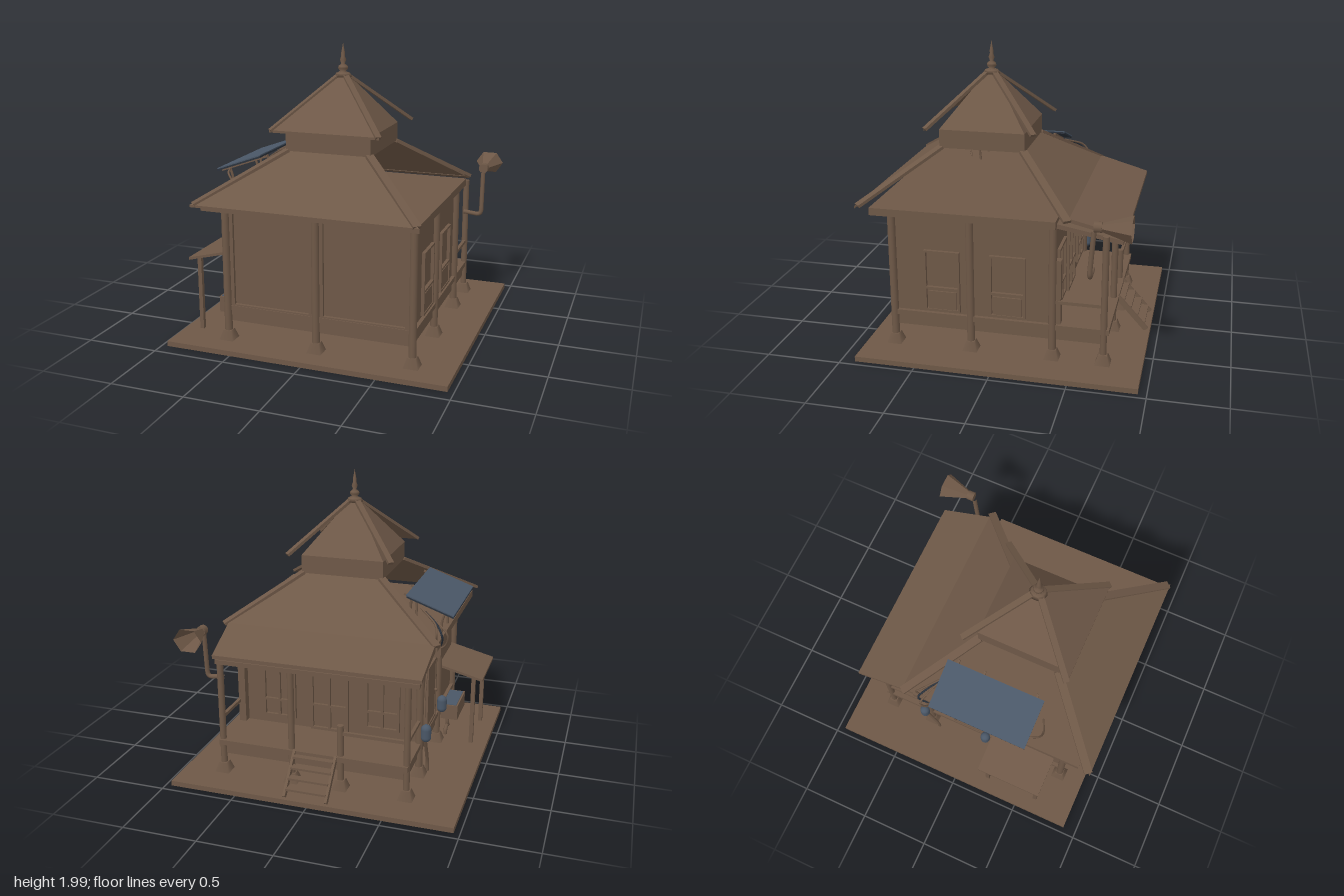
import * as THREE from 'three';
import { ConvexGeometry } from 'three/addons/geometries/ConvexGeometry.js';

const V = (x, y, z) => new THREE.Vector3(x, y, z);

export function createModel() {
  const model = new THREE.Group();
  const mat = (name, color, extra = {}) => {
    const m = new THREE.MeshStandardMaterial({ color, ...extra });
    m.name = name;
    return m;
  };
  const wood = mat('weathered wood', 0x6e5847);
  const blue = mat('slate blue', 0x4a5767);
  const navy = mat('dark navy', 0x2b323c);

  const add = (name, geo, m = wood) => {
    const mesh = new THREE.Mesh(geo, m);
    mesh.name = name;
    model.add(mesh);
    return mesh;
  };
  // box given by its min and max on each axis
  const box = (name, x0, x1, y0, y1, z0, z1, m) => {
    const b = add(name, new THREE.BoxGeometry(x1 - x0, y1 - y0, z1 - z0), m);
    b.position.set((x0 + x1) / 2, (y0 + y1) / 2, (z0 + z1) / 2);
    return b;
  };
  // rectangular bar between two points
  const beam = (name, a, b, w, h = w, m) => {
    const bar = add(name, new THREE.BoxGeometry(w, h, a.distanceTo(b)), m);
    bar.position.copy(a).lerp(b, 0.5);
    bar.lookAt(b);
    return bar;
  };
  // sloping sheet, thickened downwards
  const sheet = (name, corners, t, m) => add(name,
    new ConvexGeometry([...corners, ...corners.map((p) => V(p.x, p.y - t, p.z))]), m);
  const tube = (name, pts, r, m) => add(name,
    new THREE.TubeGeometry(new THREE.CatmullRomCurve3(pts), 16, r, 6), m);
  const post = (name, x, z, y0, y1, r = 0.026) => {
    const p = add(name, new THREE.CylinderGeometry(r, r, y1 - y0, 12));
    p.position.set(x, (y0 + y1) / 2, z);
  };
  const footing = (x, z) => {
    const f = add('footing', new THREE.CylinderGeometry(0.04, 0.07, 0.065, 4));
    f.rotation.y = Math.PI / 4;
    f.position.set(x, 0.078, z);
  };

  // ground slab
  box('groundSlab', -0.96, 0.96, 0.01, 0.045, -0.945, 0.905);

  // posts and footings
  const xs = [-0.595, 0.035, 0.685], zs = [0.715, 0.19, -0.355];
  for (const x of xs) for (const z of zs) {
    footing(x, z);
    post('post', x, z, 0.1, x === 0.035 && z < 0.5 ? 0.2 : 0.96);
  }
  for (const [x, top] of [[-0.595, 0.92], [-0.15, 0.5], [0.19, 0.92], [0.685, 0.92]]) {
    footing(x, -0.69);
    post('verandaPost', x, -0.69, 0.1, top, 0.022);
  }

  // floor, joists and walls
  box('floorBeams', -0.59, 0.68, 0.175, 0.25, -0.69, 0.71);
  box('floor', -0.61, 0.70, 0.25, 0.285, -0.725, 0.72);
  box('houseBody', -0.585, 0.675, 0.28, 0.97, -0.355, 0.695);

  // raised frame lying on a wall: axis is the wall normal
  const frame = (name, axis, at, out, u0, u1, y0, y1, w) => {
    const lo = Math.min(at, at + out), hi = Math.max(at, at + out);
    const bar = (a, b, c, d) => (axis === 'z'
      ? box(name, a, b, c, d, lo, hi) : box(name, lo, hi, c, d, a, b));
    bar(u0, u0 + w, y0, y1);
    bar(u1 - w, u1, y0, y1);
    bar(u0 + w, u1 - w, y0, y0 + w);
    bar(u0 + w, u1 - w, y1 - w, y1);
    return bar;
  };
  // front wall panels
  frame('frontPanelFrame', 'z', 0.695, 0.02, -0.58, 0.02, 0.26, 0.96, 0.035);
  frame('frontPanelFrame', 'z', 0.695, 0.02, 0.05, 0.67, 0.26, 0.96, 0.035);
  // windows on both long sides
  for (const z of [-0.18, 0.26]) {
    const bar = frame('window', 'x', 0.675, 0.022, z, z + 0.24, 0.30, 0.725, 0.014);
    bar(z, z + 0.24, 0.455, 0.47);
    bar(z + 0.025, z + 0.215, 0.31, 0.44).scale.x = 0.5;
  }
  const doorBar = frame('sideDoor', 'x', -0.585, -0.02, -0.16, 0.1, 0.285, 0.74, 0.02);
  doorBar(-0.14, 0.08, 0.30, 0.72).scale.x = 0.4;
  const knob = add('doorKnob', new THREE.SphereGeometry(0.012, 10, 8));
  knob.position.set(-0.61, 0.5, 0.06);
  // rear door and windows
  for (const [a, b, y0] of [[0.28, 0.52, 0.34], [-0.1, 0.17, 0.285], [-0.46, -0.22, 0.34]]) {
    const bar = frame('rearOpening', 'z', -0.355, -0.02, a, b, y0, 0.74, 0.018);
    bar((a + b) / 2 - 0.008, (a + b) / 2 + 0.008, y0, 0.74);
    bar(a, b, 0.46, 0.475);
  }
  box('rearCornerBoard', 0.64, 0.69, 0.29, 0.73, -0.41, -0.35);

  // veranda rails
  for (const x of [-0.595, 0.685]) {
    beam('sideRail', V(x, 0.445, -0.36), V(x, 0.445, -0.69), 0.022);
    beam('sideRail', V(x, 0.27, -0.36), V(x, 0.27, -0.72), 0.03);
  }
  beam('rearRail', V(-0.595, 0.445, -0.69), V(-0.15, 0.445, -0.69), 0.022);

  // steps
  for (const x of [-0.125, 0.16]) beam('stepStringer', V(x, 0.28, -0.71), V(x, 0.05, -0.92), 0.018, 0.035);
  for (let i = 0; i < 4; i++) {
    const y = 0.09 + i * 0.053, z = -0.885 + i * 0.048;
    box('stepTread', -0.12, 0.155, y, y + 0.014, z - 0.025, z + 0.025);
  }

  // flat ceiling and sloping veranda ceiling
  box('ceiling', -0.705, 0.75, 0.96, 1.01, -0.38, 0.84);
  sheet('verandaCeiling', [V(-0.69, 0.985, -0.36), V(0.7, 0.985, -0.36),
    V(0.67, 0.895, -0.795), V(-0.69, 0.895, -0.795)], 0.03);

  // lower roof: front and rear slopes with hip bars
  sheet('frontRoof', [V(-0.255, 1.32, 0.48), V(0.325, 1.32, 0.48),
    V(0.77, 1.02, 0.93), V(-0.73, 1.02, 0.93)], 0.015);
  sheet('rearRoof', [V(-0.255, 1.32, -0.08), V(0.325, 1.32, -0.08),
    V(0.72, 1.03, -0.46), V(-0.705, 1.03, -0.46)], 0.02);
  sheet('rearEave', [V(-0.705, 1.03, -0.46), V(0.72, 1.03, -0.46),
    V(0.68, 0.93, -0.81), V(-0.705, 0.93, -0.81)], 0.025);
  for (const s of [-1, 1]) for (const [zt, zb] of [[0.48, 0.915], [-0.08, -0.455]]) {
    beam('lowerHip', V(0.035 + s * 0.28, 1.32, zt), V(0.02 + s * 0.735, 1.02, zb), 0.055, 0.02);
  }

  // tower with pyramid top, front slope and hip bars
  box('tower', -0.255, 0.325, 1.315, 1.44, -0.09, 0.49);
  const cap = add('towerCap', new THREE.CylinderGeometry(0.045, 0.29 * Math.SQRT2, 0.34, 4, 1, false).toNonIndexed());
  cap.geometry.computeVertexNormals();
  cap.rotation.y = Math.PI / 4;
  cap.position.set(0.035, 1.61, 0.2);
  sheet('upperFrontRoof', [V(0.015, 1.8, 0.22), V(0.055, 1.8, 0.22),
    V(0.405, 1.46, 0.57), V(-0.335, 1.46, 0.57)], 0.015);
  for (const sx of [-1, 1]) for (const sz of [-1, 1]) {
    beam('upperHip', V(0.035 + sx * 0.01, 1.8, 0.2 + sz * 0.01),
      V(0.035 + sx * 0.365, 1.455, 0.2 + sz * 0.365), 0.04, 0.02);
  }

  // finial
  const finial = add('finial', new THREE.LatheGeometry([[0, 1.77], [0.06, 1.775], [0.045, 1.80],
    [0.018, 1.81], [0.034, 1.83], [0.03, 1.845], [0.012, 1.86], [0.021, 1.885], [0.012, 1.91],
    [0.013, 1.93], [0.005, 1.97], [0, 2]].map(([r, y]) => new THREE.Vector2(r, y)), 10));
  finial.position.set(0.035, 0, 0.2);

  // solar panel, its frame, legs and wiring
  const slope = (x) => 1.145 + (x + 0.77) * 0.36;
  const plate = (name, x0, x1, z0, z1, dy, t, m) => sheet(name,
    [V(x0, slope(x0) + dy, z0), V(x1, slope(x1) + dy, z0),
      V(x1, slope(x1) + dy, z1), V(x0, slope(x0) + dy, z1)], t, m);
  plate('panelTop', -0.77, -0.45, -0.22, 0.475, 0.008, 0.008, blue);
  plate('panelBack', -0.768, -0.452, -0.218, 0.473, 0, 0.012, navy);
  for (const z of [-0.15, 0.04, 0.42]) {
    beam('panelRail', V(-0.76, slope(-0.76) - 0.018, z), V(-0.42, slope(-0.42) - 0.018, z), 0.014);
    tube('panelLeg', [V(-0.47, 1.23, z), V(-0.46, 1.12, z + 0.01), V(-0.46, 1.0, z)], 0.009);
    tube('panelLeg', [V(-0.7, 1.15, z), V(-0.68, 1.08, z), V(-0.68, 1.0, z)], 0.009);
  }
  tube('panelWire', [V(-0.7, 1.15, 0.42), V(-0.66, 1.13, 0.52), V(-0.6, 1.07, 0.54), V(-0.5, 1.01, 0.5)], 0.007);
  for (let i = 0; i < 3; i++) {
    const d = i * 0.03;
    tube('cable', [V(-0.55, 1.18, -0.2), V(-0.68, 1.11, -0.27 - d), V(-0.75 + d, 1.05, -0.3 - d),
      V(-0.73 + d, 0.96, -0.26), V(-0.64, 0.9, -0.22)], 0.007, i === 1 ? navy : wood);
  }
  box('meterBox', -0.7, -0.61, 0.865, 0.95, -0.25, -0.16);
  tube('wallCable', [V(-0.61, 0.87, -0.2), V(-0.615, 0.65, -0.3), V(-0.63, 0.42, -0.375)], 0.006);
  tube('rearCable', [V(-0.62, 0.82, -0.37), V(-0.63, 0.82, -0.43), V(-0.63, 0.86, -0.48)], 0.01);

  // wall canisters with drain
  for (const z of [0.12, -0.375]) {
    const c = add('canister', new THREE.CapsuleGeometry(0.035, 0.055, 6, 12), blue);
    c.position.set(-0.645, 0.37, z);
  }
  tube('drainPipe', [V(-0.64, 0.32, -0.375), V(-0.64, 0.2, -0.32), V(-0.64, 0.12, -0.29), V(-0.64, 0.045, -0.28)], 0.012);

  // lean-to shelter and wash basin
  sheet('shelterRoof', [V(-0.915, 0.56, 0.19), V(-0.915, 0.56, 0.655),
    V(-0.6, 0.64, 0.655), V(-0.6, 0.64, 0.19)], 0.018);
  for (const z of [0.23, 0.62]) box('shelterPost', -0.86, -0.832, 0.045, 0.57, z - 0.014, z + 0.014);
  box('basin', -0.725, -0.6, 0.17, 0.28, 0.3, 0.59);
  box('basinWater', -0.713, -0.612, 0.278, 0.284, 0.312, 0.578, blue);
  tube('basinTrap', [V(-0.64, 0.18, 0.37), V(-0.64, 0.1, 0.37), V(-0.64, 0.075, 0.41),
    V(-0.64, 0.09, 0.36), V(-0.64, 0.08, 0.31), V(-0.64, 0.03, 0.305)], 0.014);

  // horn loudspeaker on a bent pipe
  const hx = 0.82, hy = 1.03;
  const arm = new THREE.CurvePath();
  arm.add(new THREE.LineCurve3(V(0.69, 0.7, -0.61), V(0.79, 0.69, -0.61)));
  arm.add(new THREE.QuadraticBezierCurve3(V(0.79, 0.69, -0.61), V(hx, 0.69, -0.61), V(hx, 0.73, -0.61)));
  arm.add(new THREE.LineCurve3(V(hx, 0.73, -0.61), V(hx, 1.0, -0.63)));
  add('hornArm', new THREE.TubeGeometry(arm, 30, 0.016, 8));
  const hub = add('hornDriver', new THREE.CylinderGeometry(0.034, 0.034, 0.05, 10));
  hub.rotation.x = Math.PI / 2;
  hub.position.set(hx, hy, -0.655);
  const flare = add('hornFlare', new THREE.CylinderGeometry(0.1, 0.03, 0.19, 6, 1, true).toNonIndexed(),
    mat('weathered wood open', 0x6e5847, { side: THREE.DoubleSide }));
  flare.geometry.rotateY(Math.PI / 6).rotateX(-Math.PI / 2).scale(1, 0.85, 1);
  flare.geometry.computeVertexNormals();
  flare.position.set(hx, hy, -0.77);

  return model;
}
